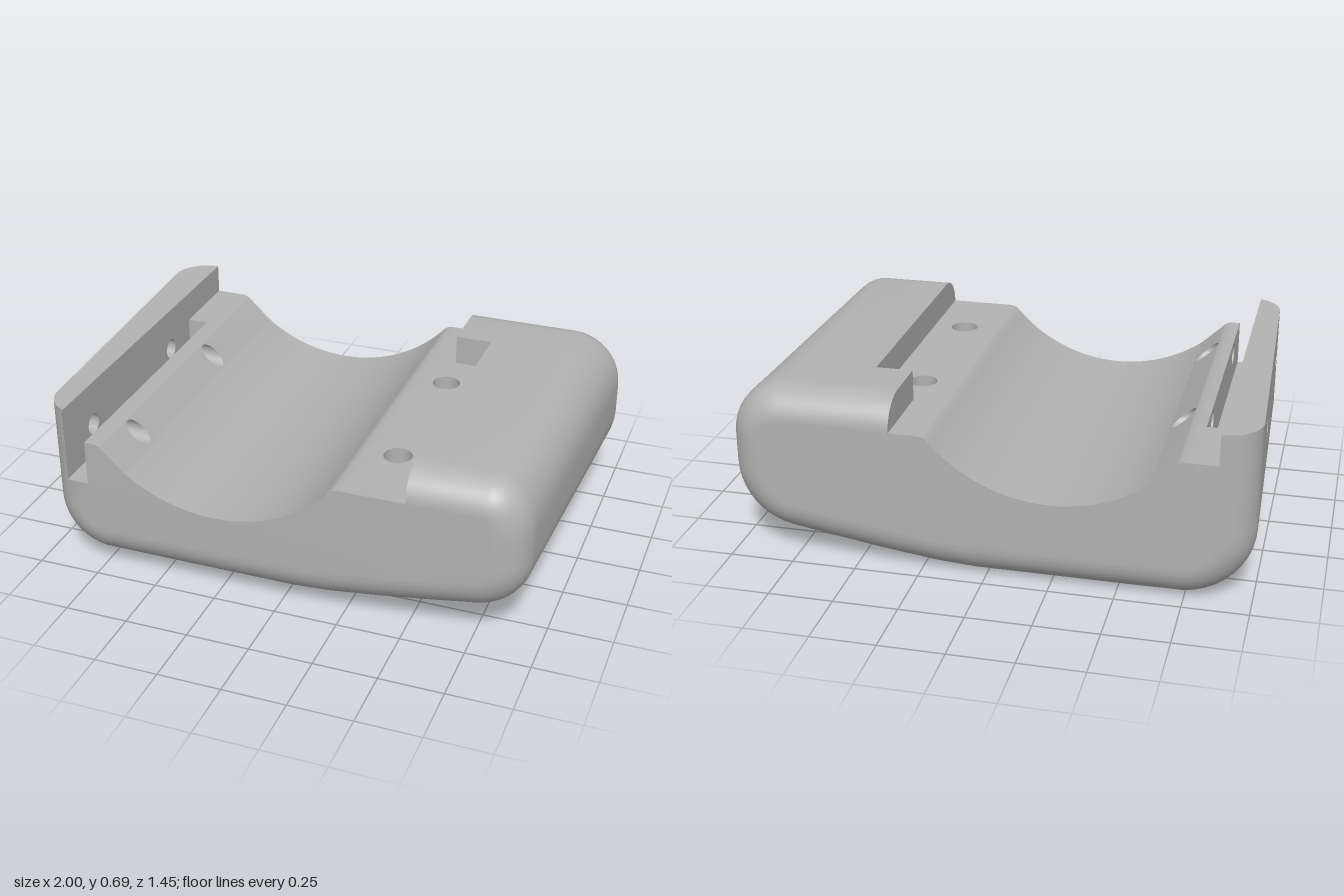
import * as THREE from 'three';
import { toCreasedNormals } from 'three/addons/utils/BufferGeometryUtils.js';

const BACK = -0.725, FRONT = 0.72, STEP = -0.4, R = 0.135;
const TOP = 0.69, SHELF = 0.57, GROOVE = 0.39;

// Collects triangles, dropping zero-area ones
class Builder {
  constructor() { this.p = []; }
  tri(a, b, c) {
    const A = new THREE.Vector3(...a), u = new THREE.Vector3(...b).sub(A), v = new THREE.Vector3(...c).sub(A);
    if (u.cross(v).length() > 1e-9) this.p.push(...a, ...b, ...c);
  }
  quad(a, b, c, d) { this.tri(a, b, c); this.tri(a, c, d); }
  mesh(name, material) {
    const g = new THREE.BufferGeometry();
    g.setAttribute('position', new THREE.Float32BufferAttribute(this.p, 3));
    const m = new THREE.Mesh(toCreasedNormals(g, 0.5), material);
    m.name = name;
    return m;
  }
}

const circle = (u, v, r, n = 32) => Array.from({ length: n }, (_, i) => {
  const a = i / n * Math.PI * 2;
  return new THREE.Vector2(u + r * Math.cos(a), v + r * Math.sin(a));
});

// Flat panel with round holes, placed by a mapping from (u, v) to space
function panel(b, outline, holes, map, flip = false) {
  const shape = new THREE.Shape(outline.map(q => new THREE.Vector2(...q)));
  holes.forEach(h => shape.holes.push(new THREE.Path(circle(...h))));
  const g = new THREE.ShapeGeometry(shape), pos = g.attributes.position, ix = g.index.array;
  const at = i => map(pos.getX(i), pos.getY(i));
  for (let i = 0; i < ix.length; i += 3) {
    const [p, q, r] = [at(ix[i]), at(ix[i + 1]), at(ix[i + 2])];
    flip ? b.tri(p, r, q) : b.tri(p, q, r);
  }
}

// Inward-facing wall between two mapped circles
function bore(b, u, v, r0, map0, r1, map1) {
  const A = circle(u, v, r0).map(q => map0(q.x, q.y)), B = circle(u, v, r1).map(q => map1(q.x, q.y));
  A.forEach((a, i) => {
    const j = (i + 1) % A.length;
    b.quad(a, A[j], B[j], B[i]);
  });
}

// Points with normals [x, y, nx, ny] along an arc, angles in degrees
const arc = (cx, cy, r, a0, a1, n) => Array.from({ length: n + 1 }, (_, i) => {
  const a = (a0 + (a1 - a0) * i / n) * Math.PI / 180, c = Math.cos(a), s = Math.sin(a);
  return [cx + r * c, cy + r * s, c, s];
});

const OUTER = [
  [-0.86, TOP, 0, 0], [-1, TOP, -1, 0], [-1, GROOVE, -1, 0], [-1, GROOVE - 0.01, -1, 0],
  ...arc(-0.72, 0.28, 0.28, 180, 264, 10),
  [-0.55, 0, 0, -1], [0.05, 0, 0, -1], [0.2, 0.01, 0.09, -0.99], [0.4, 0.035, 0.14, -0.99], [0.6, 0.065, 0.16, -0.99],
  ...arc(0.73, 0.36, 0.27, -80, 0, 10),
  ...arc(0.79, 0.48, 0.21, 0, 90, 10),
];
const CRADLE = [
  [0.25, SHELF], [0.228, 0.568],
  ...arc(-0.25, 0.951, 0.606, 319.8, 233, 28), ...arc(-0.25, 0.951, 0.606, 220.2, 220.2, 0 + 1).slice(1),
  [-0.728, 0.568], [-0.75, SHELF],
];

const draft = z => Math.max(0, 0.05 * (z + 0.6) / 1.2);

// Cross-section at z: outer skin drawn in by draft and end fillet, inner features fixed
function section(z, inFront) {
  const t = Math.min(R, z - BACK, FRONT - z);
  const fillet = R - Math.sqrt(Math.max(0, R * R - (R - t) ** 2)), d = draft(z);
  const blockX = inFront ? 0.5 : 0.355, floorY = inFront ? GROOVE : SHELF;
  const skin = [...OUTER, [blockX, TOP, 0, 1]].map(([x, y, nx, ny], i) => {
    let px = x - nx * (d + fillet);
    if (i === 1 || i === 2) px = Math.min(px, -0.861);
    return [px, y - (ny > 0 ? ny * fillet * 0.88 : ny * (d + fillet)), z];
  });
  const inner = [[blockX, SHELF], ...CRADLE, [-0.775, SHELF], [-0.775, floorY], [-0.86, floorY]];
  return [...skin, ...inner.map(([x, y]) => [x, y, z])];
}

function buildBody(material) {
  const b = new Builder(), N = 12, rings = [];
  const add = (z, inFront) => rings.push({ z, inFront, pts: section(z, inFront) });
  const ease = i => R * (1 - Math.cos(i / N * Math.PI / 2));
  for (let i = 0; i <= N; i++) add(BACK + ease(i), false);
  add(STEP, false);
  add(STEP, true);
  for (let i = N; i >= 0; i--) add(FRONT - ease(i), true);

  // Lofted skin, leaving gaps for the drilled panels
  const n = rings[0].pts.length, shelfSeg = OUTER.length + 1;
  for (let k = 0; k < rings.length - 1; k++) {
    const A = rings[k], B = rings[k + 1];
    const middle = A.z > BACK + R - 1e-6 && B.z < FRONT - R + 1e-6;
    for (let i = 0; i < n; i++) {
      if (i === shelfSeg || i === n - 7) continue;
      if (i === 1 && middle) continue;
      if (A.inFront && (i === n - 3 || i === n - 1)) continue;
      const j = (i + 1) % n;
      b.quad(A.pts[i], A.pts[j], B.pts[j], B.pts[i]);
    }
  }

  // End faces
  for (const [ring, flip] of [[rings[0], true], [rings[rings.length - 1], false]])
    panel(b, ring.pts, [], (x, y) => [x, y, ring.z], flip);

  // Panels pierced by the cross holes, in (z, y)
  const cross = [-0.215, 0.49].map(z => [z, 0.515, 0.042]);
  const rect = (z0, z1, y0, y1) => [[z0, y0], [z1, y0], [z1, y1], [z0, y1]];
  const onOuter = (z, y) => [-1 + draft(z), y, z];
  const onWall = (z, y) => [-0.86, y, z], onGroove = (z, y) => [-0.775, y, z];
  const lo = CRADLE[CRADLE.length - 4], hi = CRADLE[CRADLE.length - 3];
  const onCradle = (z, y) => [lo[0] + (y - lo[1]) / (hi[1] - lo[1]) * (hi[0] - lo[0]), y, z];
  panel(b, rect(BACK + R, FRONT - R, GROOVE, TOP), cross, onOuter);
  panel(b, rect(STEP, FRONT, GROOVE, TOP), cross, onWall, true);
  panel(b, rect(STEP, FRONT, GROOVE, SHELF), cross, onGroove);
  panel(b, rect(BACK, FRONT, lo[1], hi[1]), cross, onCradle, true);

  // Shelf with two screw holes, in (x, -z)
  const screws = [-0.215, 0.405].map(z => [0.37, -z, 0.055]);
  const level = y => (u, v) => [u, y, -v];
  panel(b, [[0.25, -FRONT], [0.5, -FRONT], [0.5, -STEP], [0.355, -STEP], [0.355, -BACK], [0.25, -BACK]], screws, level(SHELF));

  // Hole linings
  const c = new Builder(), s = new Builder();
  for (const [z, y, r] of cross) {
    bore(c, z, y, r, onOuter, r, onWall);
    bore(c, z, y, r, onGroove, r, onCradle);
  }
  for (const [x, v, r] of screws) {
    bore(s, x, v, r, level(SHELF), r, level(0.48));
    bore(s, x, v, r, level(0.48), 0.04, level(0.48));
    bore(s, x, v, 0.04, level(0.48), 0.04, level(0.3));
    panel(s, circle(x, v, 0.04).map(q => [q.x, q.y]), [], level(0.3));
  }
  return [b.mesh('cradleBody', material), c.mesh('crossHoles', material), s.mesh('screwHoles', material)];
}

export function createModel() {
  const group = new THREE.Group();
  group.name = 'clampCradle';
  const grey = new THREE.MeshStandardMaterial({ color: 0xb2b2b2 });
  grey.name = 'plain grey';
  group.add(...buildBody(grey));
  return group;
}
